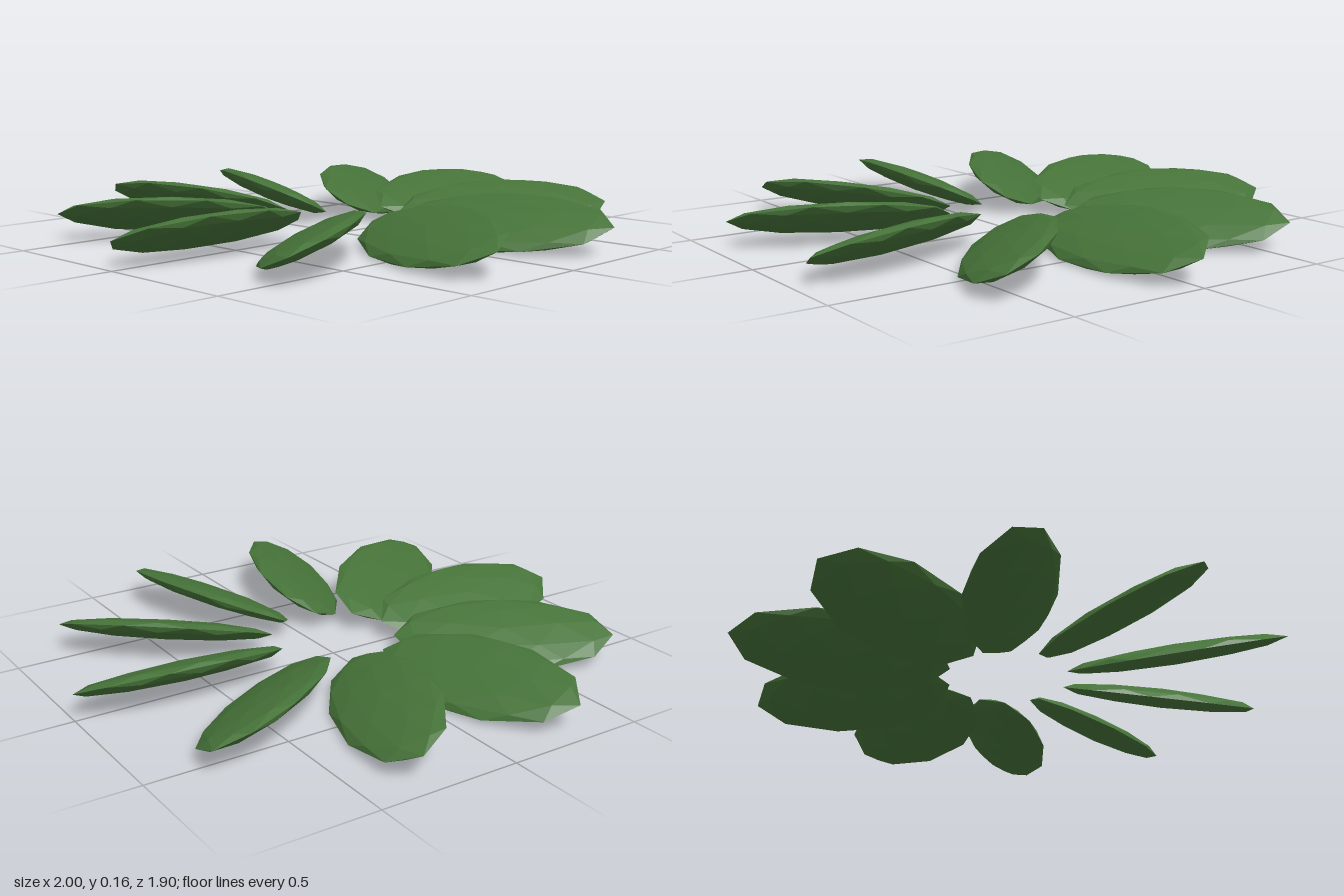
import * as THREE from 'three';

const LEAVES = 10;
const deg = THREE.MathUtils.degToRad;

// One flattened, faceted leaf lying along +x and tilted about its own length
function leafGeometry() {
  const g = new THREE.IcosahedronGeometry(1, 1);
  g.rotateZ(Math.atan(2 / (1 + Math.sqrt(5)))); // five-sided pole upward
  g.rotateY(-Math.PI / 2);                      // point the tip along x
  g.scale(0.39, 0.036, 0.178);
  g.rotateX(deg(25));                           // propeller-like tilt
  g.rotateZ(deg(1.5));                          // outer tip slightly raised
  g.rotateY(deg(-1));
  g.translate(0.608, 0, 0);
  g.computeVertexNormals();
  g.computeBoundingBox();
  g.translate(0, -g.boundingBox.min.y, 0);
  return g;
}

export function createModel() {
  const model = new THREE.Group();
  model.name = 'leafRing';
  const leafGreen = new THREE.MeshStandardMaterial({ color: 0x467339, flatShading: true });
  leafGreen.name = 'leafGreen';

  // Ring of equal leaves
  const geometry = leafGeometry();
  for (let i = 0; i < LEAVES; i++) {
    const leaf = new THREE.Mesh(geometry, leafGreen);
    leaf.name = `leaf${i + 1}`;
    leaf.rotation.y = (i / LEAVES) * Math.PI * 2;
    model.add(leaf);
  }
  return model;
}
